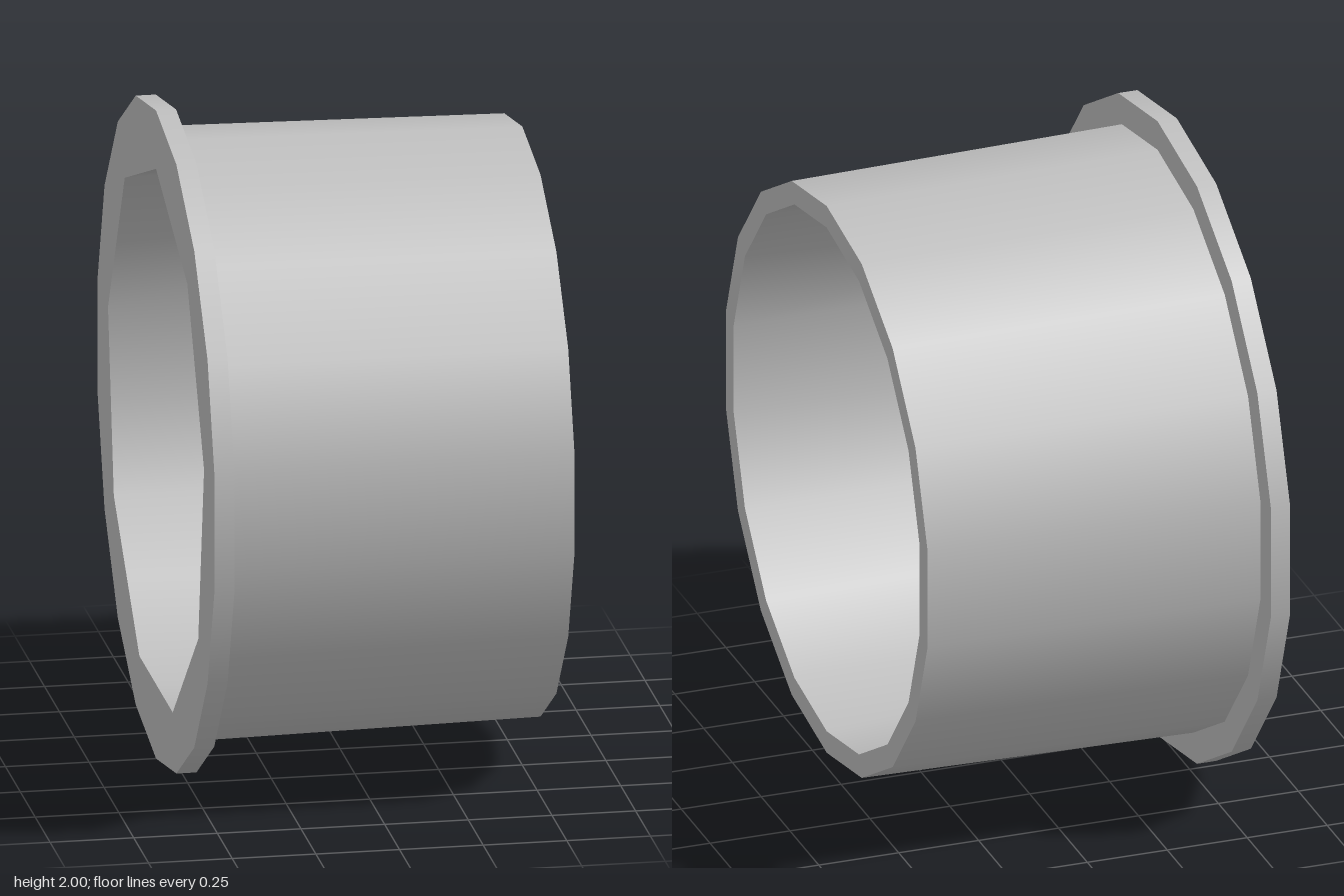
import * as THREE from 'three';

const SIDES = 18;

// One smooth strip of revolution around the x axis, between two [x, radius] rings.
// Rings flagged as coarse have half the sides: odd vertices sit on the chord.
function strip(name, material, from, to, coarse = []) {
  const points = [from, to].map(([x, r]) => new THREE.Vector2(r, x));
  const geometry = new THREE.LatheGeometry(points, SIDES, -Math.PI / 2, Math.PI * 2);
  const pos = geometry.attributes.position;
  const k = Math.cos((2 * Math.PI) / SIDES);
  for (const ring of coarse) {
    for (let i = 1; i < SIDES; i += 2) {
      const v = i * 2 + ring;
      pos.setX(v, pos.getX(v) * k);
      pos.setZ(v, pos.getZ(v) * k);
    }
  }
  geometry.rotateZ(-Math.PI / 2);
  const mesh = new THREE.Mesh(geometry, material);
  mesh.name = name;
  return mesh;
}

export function createModel() {
  const model = new THREE.Group();
  model.name = 'flangedBushing';
  const grey = new THREE.MeshStandardMaterial({ color: 0xc0c0c0 });
  grey.name = 'grey';

  const back = -0.55, step = -0.49, end = 0.545;
  const bore = 0.82;

  // Flange
  const flange = new THREE.Group();
  flange.name = 'flange';
  flange.add(
    strip('flangeBack', grey, [back, bore], [back, 1], [0]),
    strip('flangeRim', grey, [back, 1], [step, 1]),
    strip('flangeShoulder', grey, [step, 1], [step, 0.907]),
  );

  // Slightly tapered sleeve, its bore going from 18 sides to 9 at the flange
  const sleeve = new THREE.Group();
  sleeve.name = 'sleeve';
  sleeve.add(
    strip('sleeveOuterWall', grey, [step, 0.907], [end, 0.89]),
    strip('sleeveEnd', grey, [end, 0.89], [end, bore]),
    strip('sleeveBore', grey, [end, bore], [back, bore], [1]),
  );

  model.add(flange, sleeve);
  model.position.y = 1;
  return model;
}
